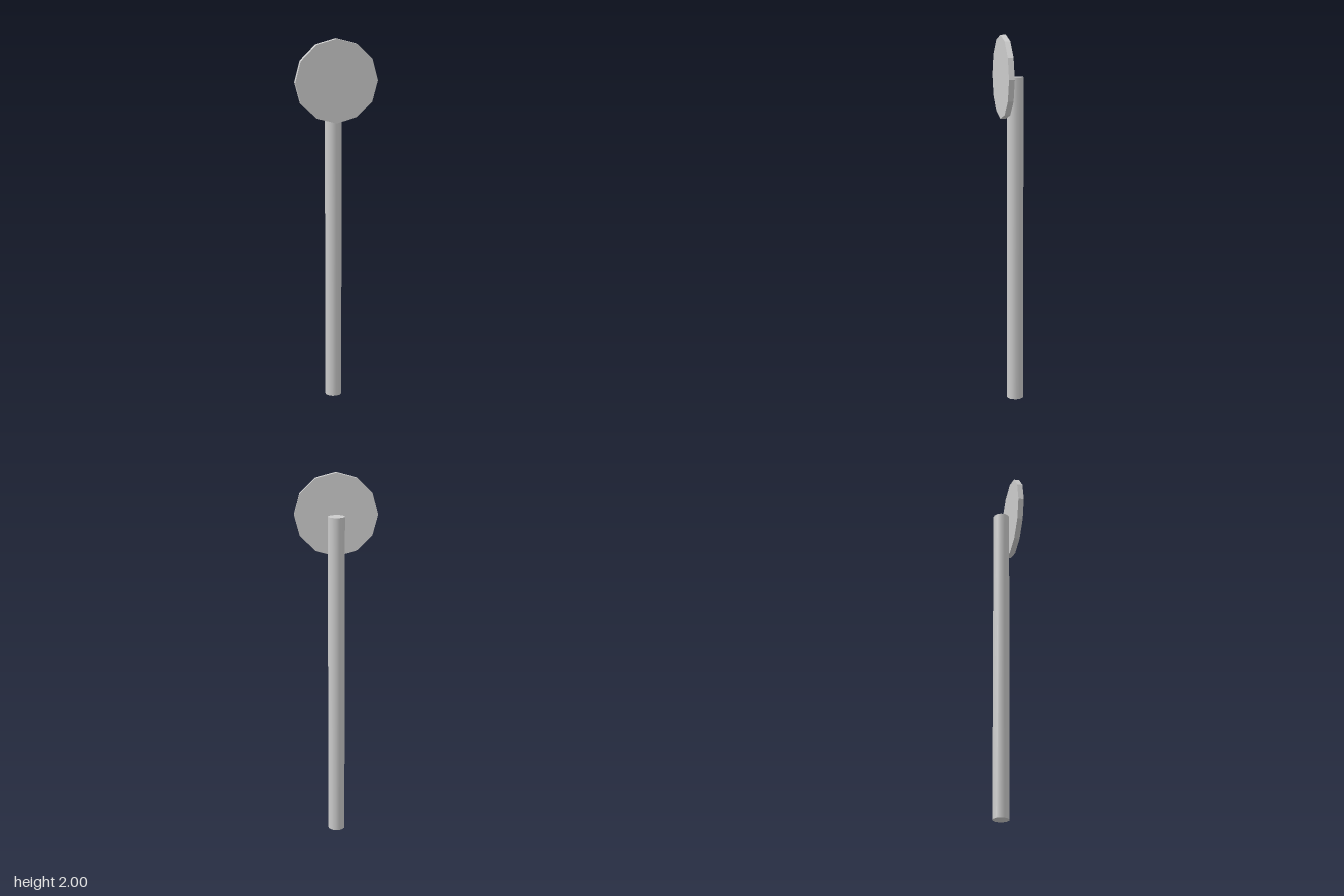
import * as THREE from 'three';

export function createModel() {
  const model = new THREE.Group();
  const radius = 0.222; // sign plate radius
  const poleHeight = 1.778;

  // Round upright, 13 sides with one corner towards +x
  const pole = new THREE.Mesh(
    new THREE.CylinderGeometry(0.0444, 0.0444, poleHeight, 13),
    new THREE.MeshStandardMaterial({ color: 0xcccccc })
  );
  pole.name = 'pole';
  pole.rotation.y = Math.PI / 2;
  pole.position.set(0, poleHeight / 2, -0.018);
  model.add(pole);

  // Twelve-sided plate standing just in front of the pole top
  const plate = new THREE.Mesh(
    new THREE.CylinderGeometry(radius, radius, 0.03, 12),
    new THREE.MeshStandardMaterial({ color: 0xcccccc, flatShading: true })
  );
  plate.name = 'signPlate';
  plate.rotation.x = Math.PI / 2;
  plate.position.set(0, poleHeight, 0.046);
  model.add(plate);

  return model;
}
